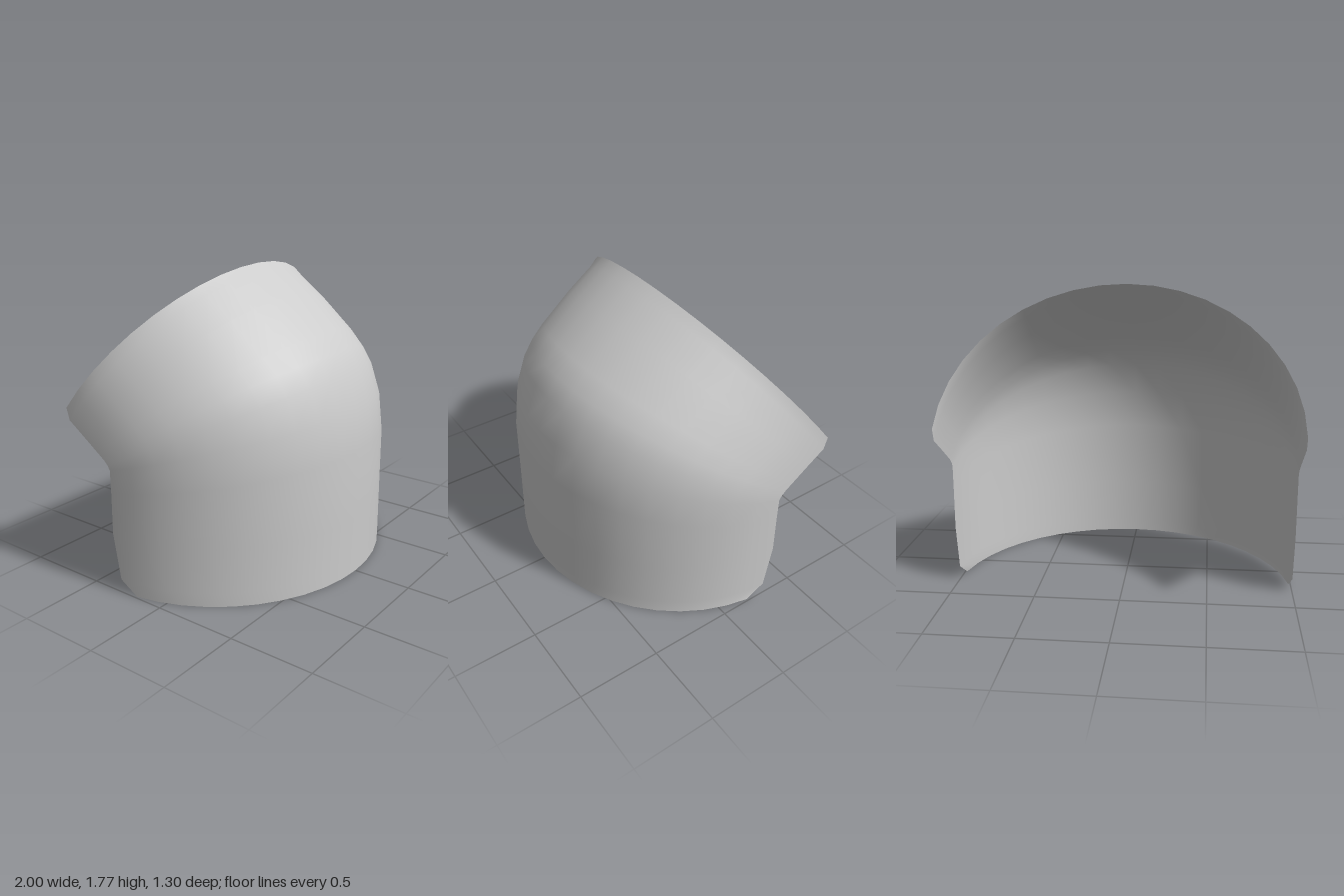
import * as THREE from 'three';

// Half rings from the base up to the rim:
// [side edge z, y, front centre z, y, cosine at which the ring stops]
const RINGS = [
  [-0.33, 0.0, 0.65, 0.0, 0.15],
  [-0.33, 0.08, 0.65, 0.08, 0.04],
  [-0.335, 0.35, 0.65, 0.35, 0],
  [-0.33, 0.6, 0.65, 0.76, 0],
  [-0.33, 0.73, 0.62, 1.0, 0],
  [-0.345, 0.755, 0.55, 1.2, 0],
  [-0.37, 0.78, 0.48, 1.31, 0],
  [-0.42, 0.815, 0.39, 1.41, 0],
  [-0.52, 0.885, 0.17, 1.6, 0],
  [-0.63, 0.96, 0.0, 1.725, 0],
  [-0.65, 1.03, -0.06, 1.77, 0],
];
const SEGMENTS = 20;

// Bends a flat grid into a half pipe that leans back at the top
function bentShell() {
  const geometry = new THREE.PlaneGeometry(1, 1, SEGMENTS, RINGS.length - 1);
  const position = geometry.attributes.position;
  for (let i = 0; i < position.count; i++) {
    const row = RINGS.length - 1 - Math.floor(i / (SEGMENTS + 1));
    const [edgeZ, edgeY, frontZ, frontY, stop] = RINGS[row];
    const t = (i % (SEGMENTS + 1)) / SEGMENTS * 2 - 1;
    const angle = t * Math.acos(stop);
    const c = Math.cos(angle);
    position.setXYZ(
      i,
      Math.sin(angle),
      edgeY + (frontY - edgeY) * c,
      edgeZ + (frontZ - edgeZ) * c
    );
  }
  geometry.computeVertexNormals();
  return geometry;
}

export function createModel() {
  const group = new THREE.Group();
  group.name = 'curvedGuard';

  // Thin open shell, seen from both sides
  const material = new THREE.MeshStandardMaterial({ color: 0xcccccc, side: THREE.DoubleSide });
  const shell = new THREE.Mesh(bentShell(), material);
  shell.name = 'shell';
  group.add(shell);

  return group;
}
